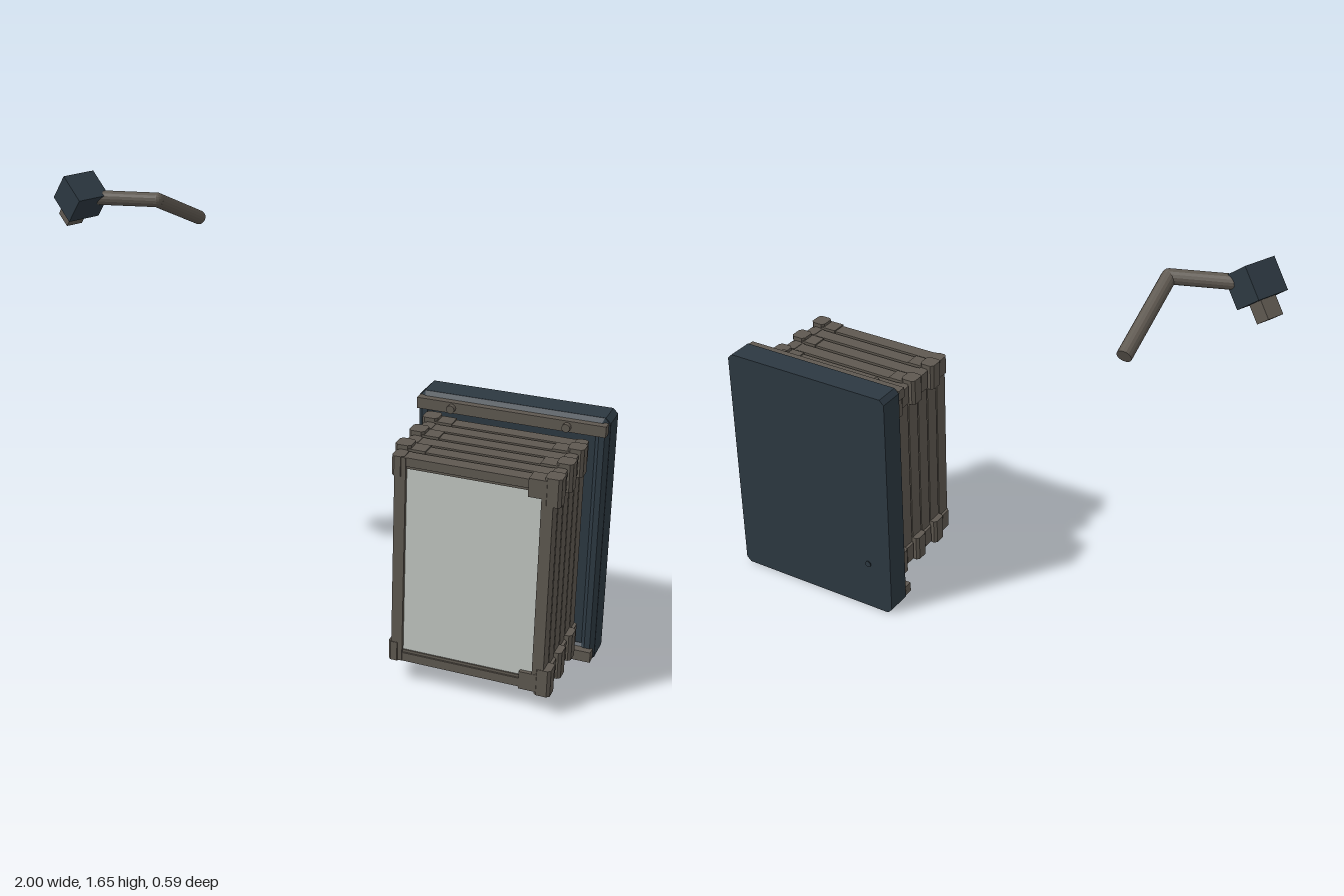
import * as THREE from 'three';

const frameMat = new THREE.MeshStandardMaterial({ color: 0x5e5850, flatShading: true });
frameMat.name = 'warm grey frame';
const caseMat = new THREE.MeshStandardMaterial({ color: 0x2c3841, flatShading: true });
caseMat.name = 'dark blue casing';
const glassMat = new THREE.MeshStandardMaterial({ color: 0xc0c6c1, flatShading: true });
glassMat.name = 'pale glass';

function add(parent, name, geo, mat) {
  const m = new THREE.Mesh(geo, mat);
  m.name = name;
  parent.add(m);
  return m;
}

// Box given by its limits on each axis
function box(parent, name, mat, x0, x1, y0, y1, z0, z1) {
  const m = add(parent, name, new THREE.BoxGeometry(x1 - x0, y1 - y0, z1 - z0), mat);
  m.position.set((x0 + x1) / 2, (y0 + y1) / 2, (z0 + z1) / 2);
  return m;
}

// Rectangle with cut corners
function cutRect(x0, x1, y0, y1, c, target = new THREE.Shape()) {
  target.setFromPoints([
    [x0 + c, y0], [x1 - c, y0], [x1, y0 + c], [x1, y1 - c],
    [x1 - c, y1], [x0 + c, y1], [x0, y1 - c], [x0, y0 + c],
  ].map(([x, y]) => new THREE.Vector2(x, y)));
  return target;
}

// Cylinder between two points
function rod(parent, name, mat, a, b, r, sides = 16) {
  const dir = b.clone().sub(a);
  const m = add(parent, name, new THREE.CylinderGeometry(r, r, dir.length(), sides), mat);
  m.position.copy(a).addScaledVector(dir, 0.5);
  m.quaternion.setFromUnitVectors(new THREE.Vector3(0, 1, 0), dir.normalize());
  return m;
}

// Shallow tray casing with a bevelled rim, clamp rails and bolts
function buildCasing() {
  const g = new THREE.Group();
  g.name = 'casing';
  const back = new THREE.ExtrudeGeometry(cutRect(0.305, 0.995, 0, 0.945, 0.018), { depth: 0.099, bevelEnabled: false });
  add(g, 'casingBack', back, caseMat).position.z = -0.225;

  const b = 0.015;
  const ring = cutRect(0.305 + b, 0.995 - b, b, 0.945 - b, 0.012);
  ring.holes.push(cutRect(0.34, 0.96, 0.05, 0.895, 0.01, new THREE.Path()));
  const rim = new THREE.ExtrudeGeometry(ring, {
    depth: 0.001, bevelThickness: b, bevelSize: b - 0.0005, bevelSegments: 1,
  });
  add(g, 'casingRim', rim, caseMat).position.z = -0.126;

  for (const y of [0.035, 0.91]) {
    box(g, 'clampRail', frameMat, 0.31, 0.99, y - 0.02, y + 0.02, -0.118, -0.083);
    for (const x of [0.44, 0.855]) {
      rod(g, 'railBolt', frameMat, new THREE.Vector3(x, y, -0.09), new THREE.Vector3(x, y, -0.064), 0.015, 12);
    }
  }
  rod(g, 'rearButton', caseMat, new THREE.Vector3(0.4, 0.205, -0.23), new THREE.Vector3(0.4, 0.205, -0.234), 0.012, 12);
  return g;
}

// One glazed frame with hinge blocks; side is +1 or -1 for the larger hinge edge
function buildPanel(zc, side) {
  const g = new THREE.Group();
  g.name = 'foldingPanel';
  const h = 0.029, cx = 0.647;
  for (const s of [-1, 1]) {
    const xs = [cx + s * 0.235, cx + s * 0.275].sort((p, q) => p - q);
    box(g, 'stile', frameMat, xs[0], xs[1], 0.09, 0.865, zc - h, zc + h);
    const yc = 0.477 + s * 0.372;
    box(g, 'crossRail', frameMat, 0.41, 0.885, yc - 0.016, yc + 0.016, zc - h + 0.003, zc + h - 0.003);
    const yl = 0.477 + s * 0.352;
    box(g, 'glazingBead', frameMat, 0.41, 0.885, yl - 0.006, yl + 0.006, zc - h + 0.009, zc + h - 0.009);
  }
  box(g, 'glassPane', glassMat, 0.41, 0.885, 0.11, 0.845, zc - h + 0.014, zc + h - 0.014);

  for (const v of [-1, 1]) {
    const plateY = 0.477 + v * 0.36;
    const px = [cx + side * 0.19, cx + side * 0.28].sort((p, q) => p - q);
    box(g, 'cornerPlate', frameMat, px[0], px[1], plateY - 0.033, plateY + 0.033, zc - h - 0.001, zc + h + 0.001);
    // Large knuckle on the hinge edge, smaller one opposite
    for (const s of [-1, 1]) {
      const big = s === side;
      const out = big ? 0.3 : 0.286, tall = big ? 0.1 : 0.072;
      const xs = [cx + s * 0.243, cx + s * out].sort((p, q) => p - q);
      const k = cutRect(xs[0], xs[1], -h - 0.002, h + 0.002, 0.01);
      const m = add(g, 'hingeKnuckle', new THREE.ExtrudeGeometry(k, { depth: tall, bevelEnabled: false }), frameMat);
      m.rotation.x = -Math.PI / 2;
      m.position.set(0, 0.477 + v * 0.354 - tall / 2, zc);
    }
  }
  return g;
}

// Tilted sensor head on a bent arm
function buildSensor() {
  const g = new THREE.Group();
  g.name = 'sensorArm';
  const tail = new THREE.Vector3(-0.645, 1.425, -0.285);
  const elbow = new THREE.Vector3(-0.645, 1.567, 0.025);
  const neck = new THREE.Vector3(-0.85, 1.57, 0.09);
  rod(g, 'longArm', frameMat, tail, elbow, 0.026);
  rod(g, 'shortArm', frameMat, elbow, neck, 0.026);
  add(g, 'elbow', new THREE.SphereGeometry(0.026, 16, 10), frameMat).position.copy(elbow);

  const head = new THREE.Group();
  head.name = 'sensorHead';
  const tilt = 0.68, turn = 0.42;
  const up = new THREE.Vector3(Math.sin(tilt) * Math.cos(turn), Math.cos(tilt), Math.sin(tilt) * Math.sin(turn));
  const wide = new THREE.Vector3(-Math.sin(turn), 0, Math.cos(turn));
  const across = new THREE.Vector3().crossVectors(up, wide);
  head.quaternion.setFromRotationMatrix(new THREE.Matrix4().makeBasis(across, up, wide));
  head.position.set(-0.905, 1.573, 0.108);
  add(head, 'headBlock', new THREE.BoxGeometry(0.115, 0.115, 0.125), caseMat);
  box(head, 'lens', frameMat, -0.03, 0.03, -0.123, -0.05, -0.032, 0.032);
  g.add(head);
  return g;
}

export function createModel() {
  const model = new THREE.Group();
  model.name = 'foldingPanelUnit';
  model.add(buildCasing());
  const panels = new THREE.Group();
  panels.name = 'panelStack';
  for (let i = 0; i < 6; i++) panels.add(buildPanel(0.261 - i * 0.0652, i % 2 ? -1 : 1));
  // Pivots joining the last panel to the casing
  for (const y of [0.118, 0.83]) box(panels, 'casingPivot', frameMat, 0.36, 0.4, y - 0.014, y + 0.014, -0.13, -0.08);
  model.add(panels, buildSensor());
  return model;
}
